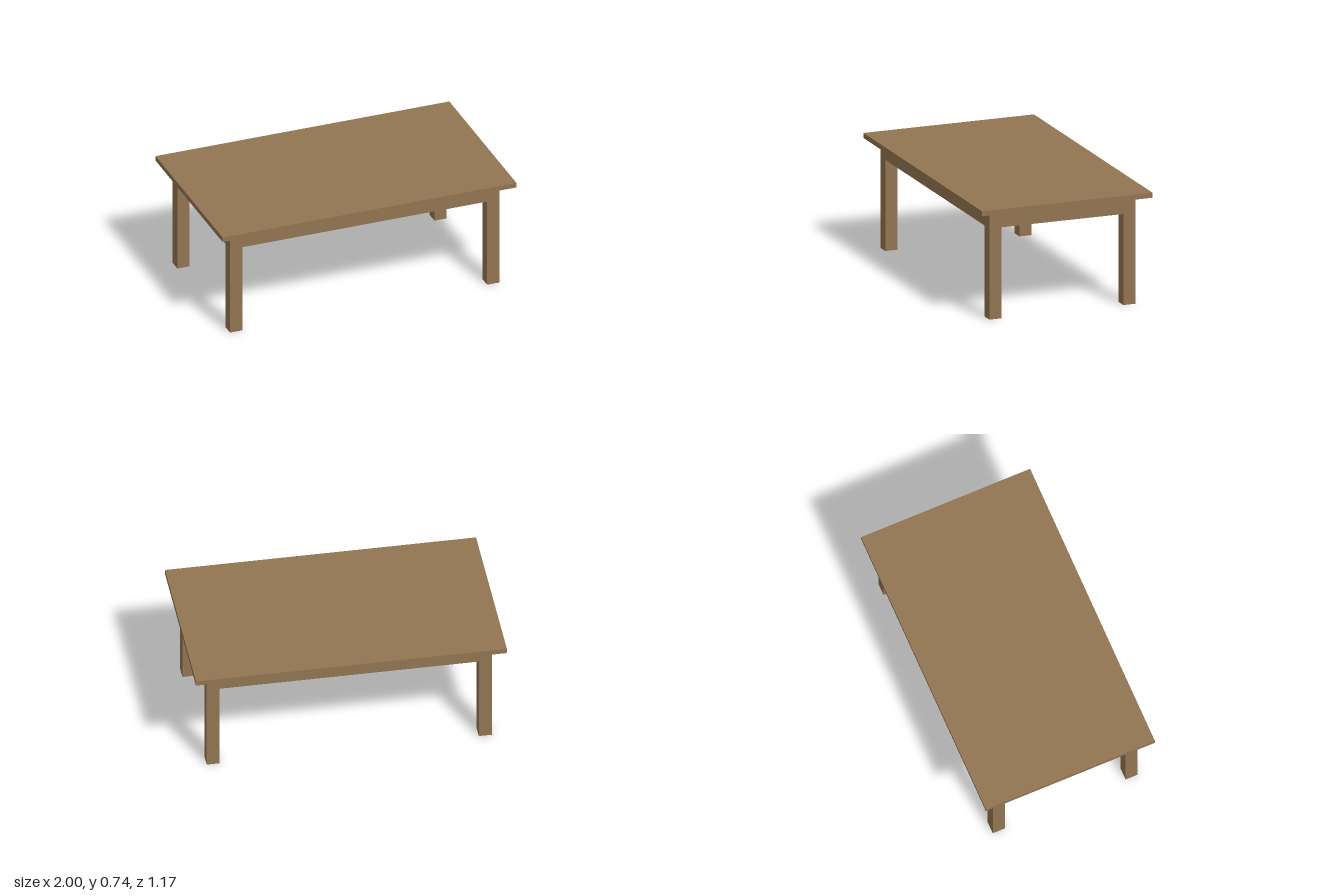
import * as THREE from 'three';

export function createModel() {
  const model = new THREE.Group();
  model.name = 'table';

  const wood = new THREE.MeshStandardMaterial({ color: 0x927552 });
  wood.name = 'brown wood';

  // Main sizes
  const height = 0.743, under = 0.71, apronBottom = 0.599;
  const leg = 0.0833;
  const outerX = 0.9167, outerZ = 0.5;
  const legX = outerX - leg / 2, legZ = outerZ - leg / 2;

  // Box spanning bottom to top, centred at x, z
  function addBox(name, width, depth, bottom, top, x, z) {
    const mesh = new THREE.Mesh(new THREE.BoxGeometry(width, top - bottom, depth), wood);
    mesh.name = name;
    mesh.position.set(x, (bottom + top) / 2, z);
    model.add(mesh);
  }

  addBox('tableTop', 2, 1.1667, under, height, 0, 0);

  // Four legs, flush with the outside of the apron
  for (const [side, sx] of [['Left', 1], ['Right', -1]]) {
    for (const [end, sz] of [['front', 1], ['back', -1]]) {
      addBox(`${end}${side}Leg`, leg, leg, 0, under, sx * legX, sz * legZ);
    }
  }

  // Apron rails between the legs, as thick as the legs
  const railX = 2 * (outerX - leg), railZ = 2 * (outerZ - leg);
  addBox('frontApron', railX, leg, apronBottom, under, 0, legZ);
  addBox('backApron', railX, leg, apronBottom, under, 0, -legZ);
  addBox('leftApron', leg, railZ, apronBottom, under, legX, 0);
  addBox('rightApron', leg, railZ, apronBottom, under, -legX, 0);

  return model;
}
